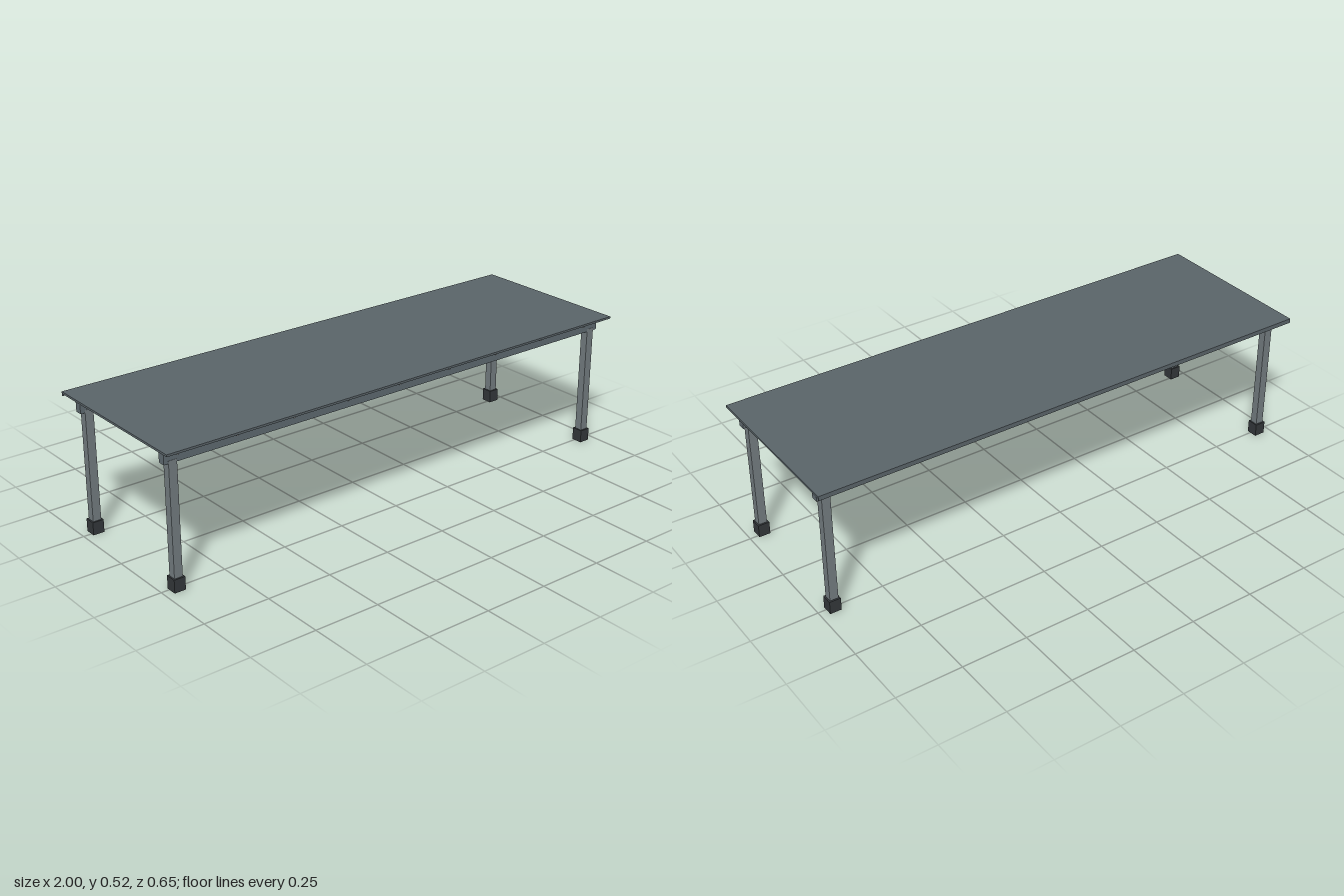
import * as THREE from 'three';

const material = (color) => new THREE.MeshStandardMaterial({ color });

export function createModel() {
  const group = new THREE.Group();
  const roofGrey = material(0x5a6469);
  const beamGrey = material(0x5f6a70);
  const postGrey = material(0x737c80);
  const purlinGrey = material(0x9a9fa2);
  const footDark = material(0x33373a);

  // Box given by its lower and upper limits on each axis
  function box(name, mat, [x0, x1], [y0, y1], [z0, z1]) {
    const mesh = new THREE.Mesh(new THREE.BoxGeometry(x1 - x0, y1 - y0, z1 - z0), mat);
    mesh.position.set((x0 + x1) / 2, (y0 + y1) / 2, (z0 + z1) / 2);
    mesh.name = name;
    group.add(mesh);
  }
  const around = (centre, size) => [centre - size / 2, centre + size / 2];

  // Flat roof sheet with a thin drip lip along the back
  box('roofSheet', roofGrey, [-1, 1], [0.514, 0.522], [-0.325, 0.327]);
  box('backLip', roofGrey, [-1, 1], [0.505, 0.522], [-0.327, -0.325]);

  // Purlins running front to back under the roof
  for (let i = 0; i < 9; i++) {
    box('purlin', purlinGrey, around(-0.947 + i * 0.2275, 0.009), [0.501, 0.514], [-0.305, 0.309]);
  }

  // Long beams, each on two posts with block feet
  for (const [side, z] of [['front', 0.261], ['back', -0.257]]) {
    box(side + 'Beam', beamGrey, [-0.98, 0.98], [0.461, 0.501], around(z, 0.028));
    for (const x of [-0.947, 0.947]) {
      box(side + 'Post', postGrey, around(x, 0.032), [0.045, 0.471], around(z, 0.03));
      box(side + 'Foot', footDark, around(x, 0.043), [0, 0.049], around(z, 0.043));
    }
  }
  return group;
}
